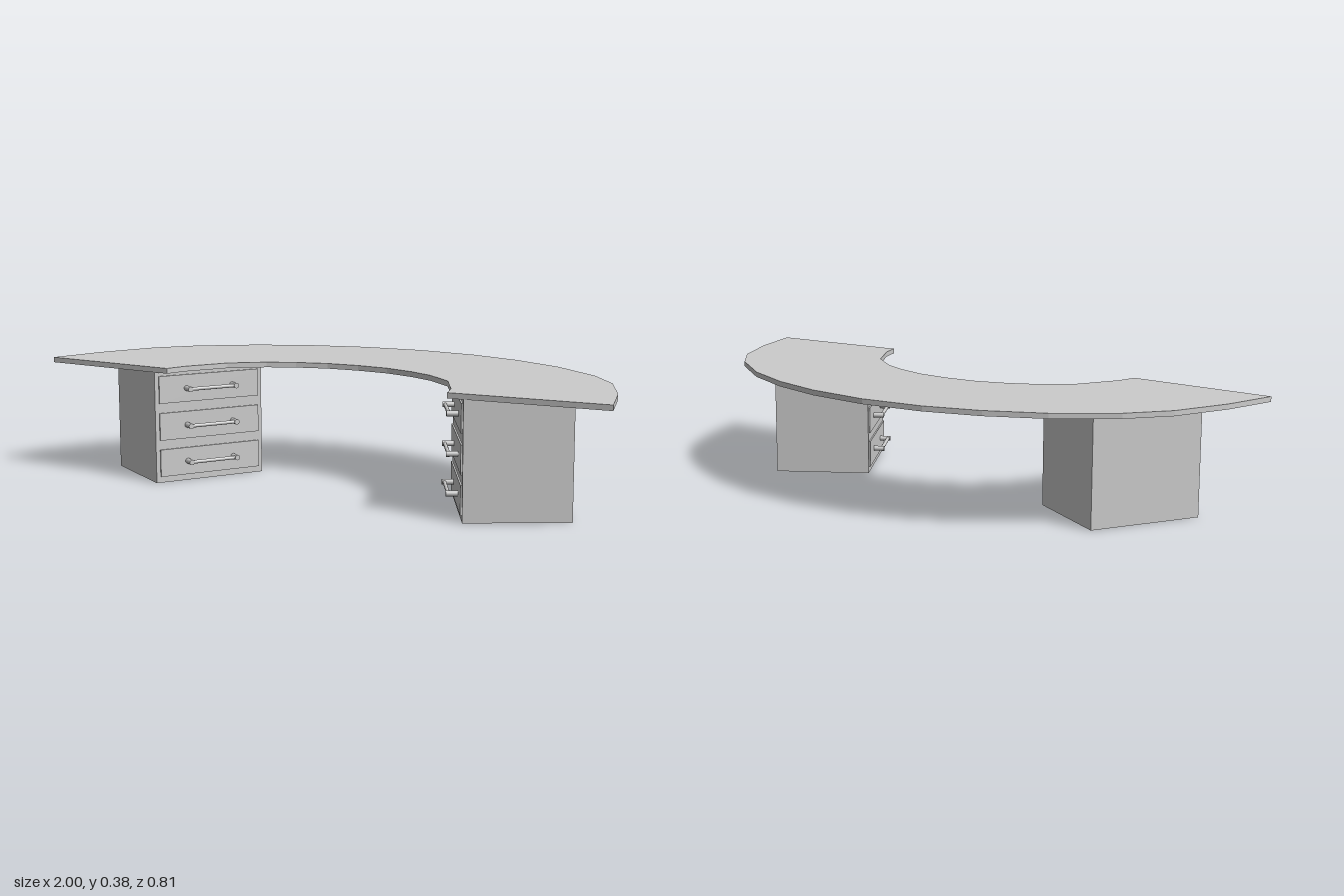
import * as THREE from 'three';

const material = new THREE.MeshStandardMaterial({ color: 0xcccccc, flatShading: true });
const smooth = new THREE.MeshStandardMaterial({ color: 0xcccccc });

function add(parent, name, geometry, x, y, z, mat = material) {
  const mesh = new THREE.Mesh(geometry, mat);
  mesh.name = name;
  mesh.position.set(x, y, z);
  parent.add(mesh);
  return mesh;
}

// Curved desk top: half outlines (x, z), mirrored across x = 0
function createTop() {
  const outer = [[0, -0.405], [0.215, -0.385], [0.4, -0.335], [0.58, -0.253],
    [0.755, -0.125], [0.86, 0], [0.945, 0.185], [1, 0.372]];
  const inner = [[0.503, 0.402], [0.48, 0.33], [0.405, 0.2], [0.305, 0.12],
    [0.215, 0.078], [0.112, 0.048], [0, 0.04]];
  const half = [...outer, ...inner];
  const mirrored = half.slice(1, -1).reverse().map(([x, z]) => [-x, z]);
  const shape = new THREE.Shape([...half, ...mirrored].map(([x, z]) => new THREE.Vector2(x, -z)));
  const geometry = new THREE.ExtrudeGeometry(shape, { depth: 0.017, bevelEnabled: false });
  return geometry.rotateX(-Math.PI / 2);
}

// Handle: a bar held off the drawer by two thicker posts
function createHandle() {
  const handle = new THREE.Group();
  handle.name = 'handle';
  const reach = 0.028, half = 0.082;
  add(handle, 'handleBar', new THREE.CylinderGeometry(0.006, 0.006, 2 * half, 12).rotateZ(Math.PI / 2), 0, 0, reach, smooth);
  for (const side of [-1, 1]) {
    add(handle, 'handlePost', new THREE.CylinderGeometry(0.009, 0.009, reach + 0.008, 12).rotateX(Math.PI / 2),
      side * half, 0, (reach + 0.008) / 2, smooth);
  }
  return handle;
}

// Pedestal with its drawer face on local z = 0
function createPedestal() {
  const pedestal = new THREE.Group();
  const width = 0.383, height = 0.367, depth = 0.325, lip = 0.005;
  add(pedestal, 'cabinet', new THREE.BoxGeometry(width, height, depth), 0, height / 2, -depth / 2);
  for (const y of [0.065, 0.186, 0.308]) {
    add(pedestal, 'drawerFront', new THREE.BoxGeometry(0.355, 0.09, 2 * lip), 0, y, 0);
    const handle = createHandle();
    handle.position.set(0, y, lip);
    pedestal.add(handle);
  }
  return pedestal;
}

export function createModel() {
  const desk = new THREE.Group();
  desk.name = 'curvedDesk';
  add(desk, 'deskTop', createTop(), 0, 0.367, 0);

  // Two pedestals turned to face the seat
  for (const side of [-1, 1]) {
    const pedestal = createPedestal();
    pedestal.name = side > 0 ? 'leftPedestal' : 'rightPedestal';
    pedestal.position.set(side * 0.4575, 0, 0.235);
    pedestal.rotation.y = side * Math.atan2(-0.861, 0.509);
    desk.add(pedestal);
  }
  return desk;
}
